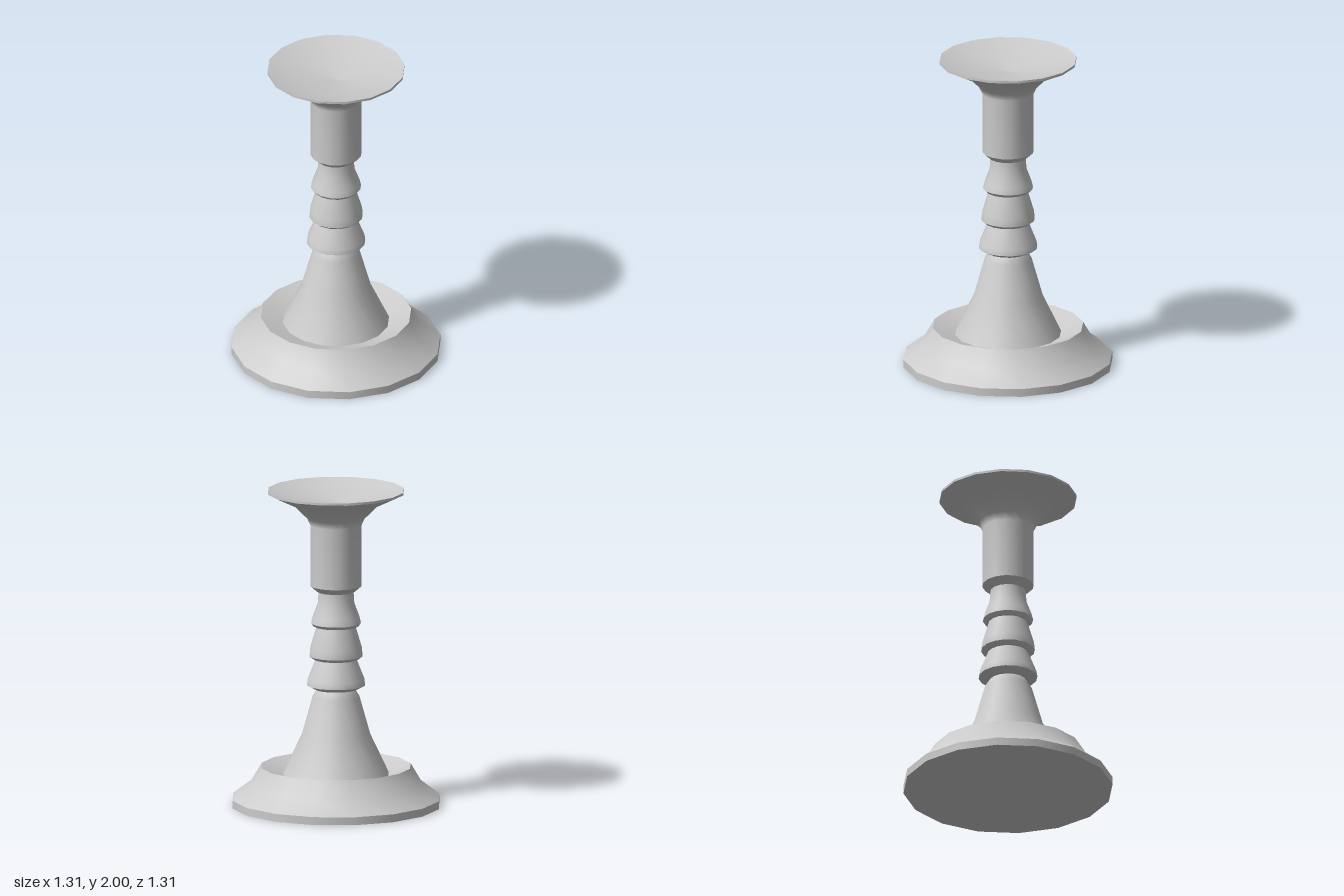
import * as THREE from 'three';

const SIDES = 16;

// Each part is a list of profile runs [radius, height]; a run is smooth, the joints between runs stay sharp.
const PARTS = {
  base: [
    [[0, 0], [0.655, 0]],
    [[0.655, 0], [0.655, 0.05]],
    [[0.655, 0.05], [0.537, 0.14], [0.472, 0.25]],
    [[0.472, 0.25], [0.333, 0.2]],
  ],
  lowerStem: [
    [[0.333, 0.2], [0.217, 0.445], [0.148, 0.69], [0.116, 0.74]],
  ],
  lowerRing: [
    [[0.116, 0.74], [0.138, 0.74]],
    [[0.138, 0.74], [0.184, 0.765]],
    [[0.184, 0.765], [0.179, 0.8], [0.127, 0.93]],
  ],
  middleRing: [
    [[0.127, 0.93], [0.143, 0.93]],
    [[0.143, 0.93], [0.168, 0.95]],
    [[0.168, 0.95], [0.163, 1.0], [0.122, 1.137]],
  ],
  upperRing: [
    [[0.122, 1.137], [0.138, 1.137]],
    [[0.138, 1.137], [0.157, 1.157]],
    [[0.157, 1.157], [0.148, 1.195], [0.116, 1.28], [0.111, 1.357]],
  ],
  candleSocket: [
    [[0.111, 1.357], [0.118, 1.357]],
    [[0.118, 1.357], [0.161, 1.395]],
    [[0.161, 1.395], [0.161, 1.78], [0.182, 1.825], [0.262, 1.905], [0.43, 1.985]],
  ],
  dripPan: [
    [[0.43, 1.985], [0.43, 2]],
    [[0.43, 2], [0.24, 1.945], [0, 1.92]],
  ],
};

export function createModel() {
  const candlestick = new THREE.Group();
  candlestick.name = 'candlestick';
  const material = new THREE.MeshStandardMaterial({ color: 0xcccccc });

  for (const [name, runs] of Object.entries(PARTS)) {
    const part = new THREE.Group();
    part.name = name;
    runs.forEach((run, i) => {
      const points = run.map(([r, y]) => new THREE.Vector2(r, y));
      const mesh = new THREE.Mesh(new THREE.LatheGeometry(points, SIDES), material);
      mesh.name = `${name}Surface${i + 1}`;
      part.add(mesh);
    });
    candlestick.add(part);
  }
  return candlestick;
}
